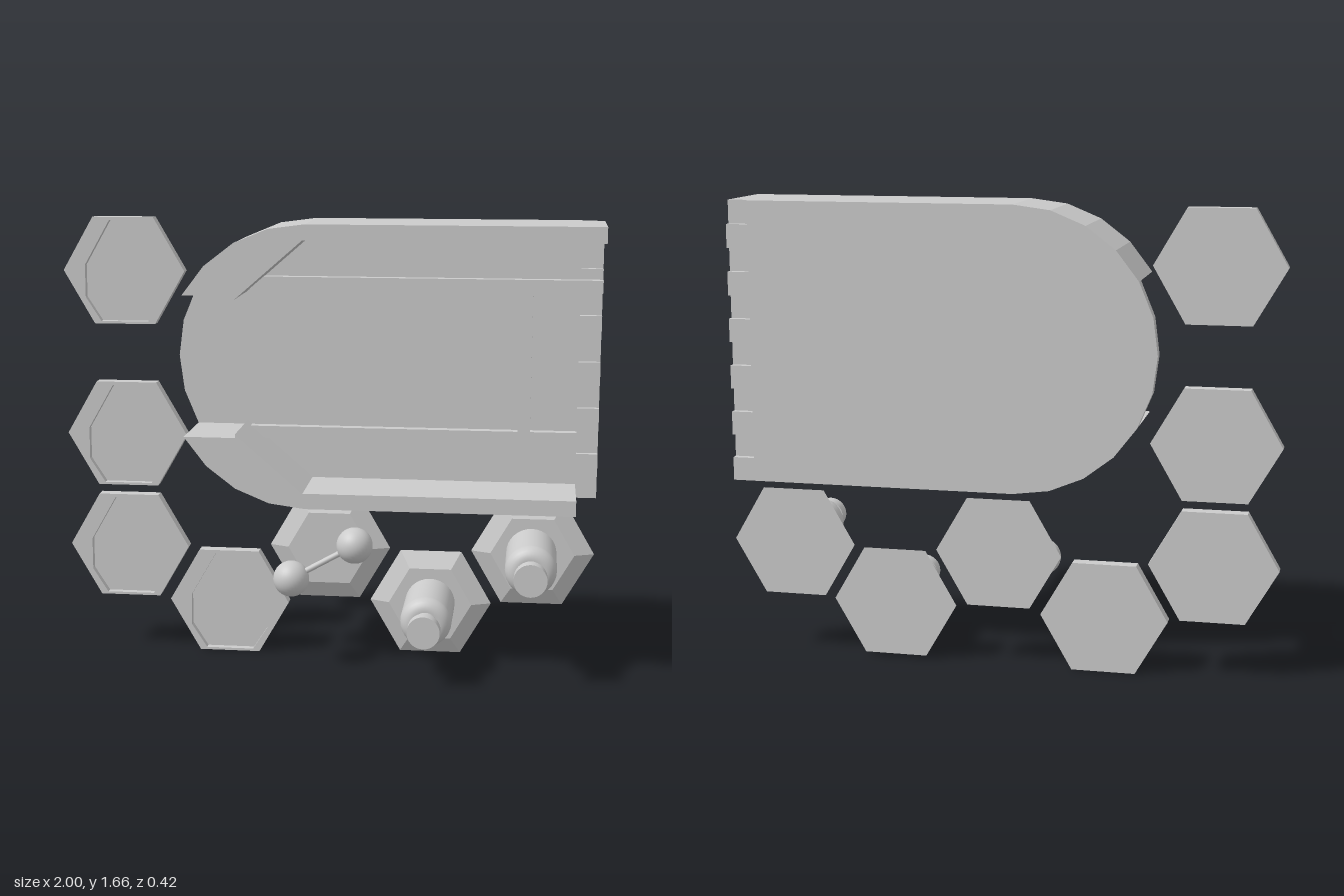
import * as THREE from 'three';

const flat = new THREE.MeshStandardMaterial({ color: 0xcccccc, flatShading: true });
const smooth = new THREE.MeshStandardMaterial({ color: 0xcccccc });

// z levels shared by all parts
const BACK = -0.21, LAP = -0.185, FLOOR = -0.163, RAIL = -0.125, WALL = 0.12;
// tray outline: a half circle on the left, straight to the right
const CX = -0.05, CY = 1.1525, R = 0.5125, LAP_X = 0.92;

const pts = (list) => list.map(([x, y]) => new THREE.Vector2(x, y));

function add(parent, name, geometry, material = flat) {
  const mesh = new THREE.Mesh(geometry, material);
  mesh.name = name;
  parent.add(mesh);
  return mesh;
}

// Prism between two z levels
function slab(outline, z0, z1, hole) {
  const shape = new THREE.Shape(pts(outline));
  if (hole) shape.holes.push(new THREE.Path(pts(hole)));
  return new THREE.ExtrudeGeometry(shape, { depth: z1 - z0, bevelEnabled: false }).translate(0, 0, z0);
}

function block(x0, x1, y0, y1, z0, z1) {
  return new THREE.BoxGeometry(x1 - x0, y1 - y0, z1 - z0)
    .translate((x0 + x1) / 2, (y0 + y1) / 2, (z0 + z1) / 2);
}

// Arc points in 15 degree steps, counted from the top
function arc(first, last) {
  const out = [];
  for (let i = first; i <= last; i++) {
    const a = Math.PI / 2 + (i * Math.PI) / 12;
    out.push([CX + R * Math.cos(a), CY + R * Math.sin(a)]);
  }
  return out;
}

// Half-thickness tray layer; every second row of its right edge is a finger
function trayLayer(parity) {
  const outline = arc(0, 12), rows = 12, step = (2 * R) / rows;
  for (let i = 0; i < rows; i++) {
    const x = i % 2 === parity ? 1 : LAP_X, y = CY - R + i * step;
    outline.push([x, y], [x, y + step]);
  }
  return outline;
}

function hexagon(r) {
  return Array.from({ length: 6 }, (_, i) => [r * Math.cos((i * Math.PI) / 3), r * Math.sin((i * Math.PI) / 3)]);
}

function makeTray() {
  const tray = new THREE.Group();
  tray.name = 'tray';
  add(tray, 'trayBack', slab(trayLayer(0), BACK, LAP));
  add(tray, 'trayFloor', slab(trayLayer(1), LAP, FLOOR));

  // Side walls and rails, mirrored about the tray's middle line
  for (const side of [1, -1]) {
    const end = side > 0 ? 1 : LAP_X;
    const mirror = ([x, y]) => [x, CY + side * (y - CY)];
    const wall = [[end, CY + R], ...arc(0, 4), [-0.305, 1.409], [-0.305, 1.395], [-0.06, 1.608], [end, 1.608]];
    const rail = [[-0.3, 1.409], [end, 1.409], [end, 1.455], [-0.3, 1.455]];
    const label = side > 0 ? 'upper' : 'lower';
    add(tray, label + 'Wall', slab(wall.map(mirror), LAP, WALL));
    add(tray, label + 'Rail', slab(rail.map(mirror), FLOOR, RAIL));
  }
  add(tray, 'crossRib', block(0.705, 0.75, 0.896, 1.409, FLOOR, RAIL));
  return tray;
}

// Hexagonal tile with an elongated pocket
function makePocketTile() {
  const tile = new THREE.Group();
  tile.name = 'pocketTile';
  const half = [[0.052, 0.187], [0.148, 0.02], [0.148, -0.1], [0.09, -0.19]];
  const pocket = [...half, ...half.map(([x, y]) => [-x, y]).reverse()];
  add(tile, 'tileBase', slab(hexagon(0.23), BACK, -0.19));
  add(tile, 'tileRim', slab(hexagon(0.23), -0.19, FLOOR, pocket));
  return tile;
}

// Hexagonal tile with sloping edges
function makeBevelTile() {
  const height = 0.032;
  const geometry = new THREE.CylinderGeometry(0.157, 0.23, height, 6)
    .rotateY(Math.PI / 6).rotateX(Math.PI / 2).translate(0, 0, BACK + height / 2);
  const group = new THREE.Group();
  group.name = 'bevelTile';
  add(group, 'bevelBase', geometry);
  return group;
}

// Bottle pointing forward: body, shoulder, neck and cap
function makeBottle() {
  const bottle = new THREE.Group();
  bottle.name = 'bottle';
  const lathe = (profile) => new THREE.LatheGeometry(pts(profile), 32).rotateX(Math.PI / 2);
  const shoulder = [];
  for (let i = 0; i <= 6; i++) {
    const a = (i * Math.PI) / 12;
    shoulder.push([0.05 + 0.044 * Math.cos(a), 0.063 + 0.044 * Math.sin(a)]);
  }
  add(bottle, 'bottleBody', lathe([[0.094, -0.2], ...shoulder, [0, 0.107]]), smooth);
  const cylinder = (r, z0, z1) => new THREE.CylinderGeometry(r, r, z1 - z0, 32)
    .rotateX(Math.PI / 2).translate(0, 0, (z0 + z1) / 2);
  add(bottle, 'bottleNeck', cylinder(0.046, 0.1, 0.168), smooth);
  add(bottle, 'bottleCap', cylinder(0.06, 0.163, 0.21), smooth);
  return bottle;
}

// Two balls joined by a thin rod
function makeBallPair() {
  const pair = new THREE.Group();
  pair.name = 'ballPair';
  const a = new THREE.Vector3(0.118, 0.067, 0.022), b = new THREE.Vector3(-0.118, -0.067, 0.022);
  for (const p of [a, b]) add(pair, 'ball', new THREE.SphereGeometry(0.067, 32, 20), smooth).position.copy(p);
  add(pair, 'rod', new THREE.TubeGeometry(new THREE.LineCurve3(a, b), 1, 0.011, 12), smooth);
  return pair;
}

export function createModel() {
  const model = new THREE.Group();
  model.name = 'traySet';
  const place = (part, x, y) => {
    part.position.set(x, y, 0);
    model.add(part);
  };

  model.add(makeTray());
  for (const [x, y] of [[-0.77, 1.466], [-0.77, 0.846], [-0.77, 0.41], [-0.383, 0.2]]) place(makePocketTile(), x, y);
  for (const [x, y] of [[0.002, 0.418], [0.388, 0.212], [0.77, 0.418]]) place(makeBevelTile(), x, y);
  for (const [x, y] of [[0.388, 0.216], [0.766, 0.423]]) place(makeBottle(), x, y);
  place(makeBallPair(), 0.002, 0.417);
  return model;
}
